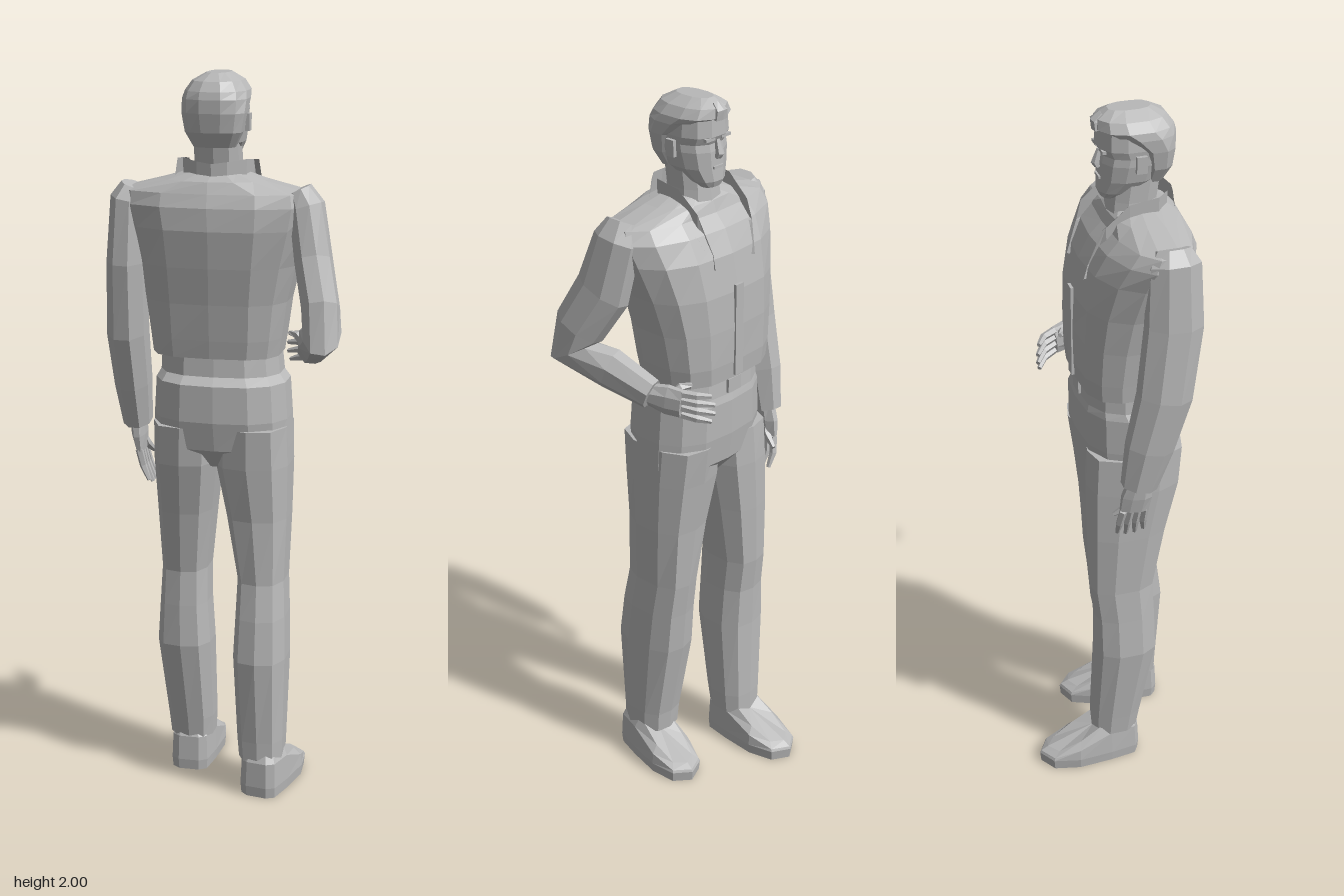
import * as THREE from 'three';

const grey = new THREE.MeshStandardMaterial({ color: 0xb8b8b8, flatShading: true });
grey.name = 'plain grey';
const greyOpen = grey; // one colour for the whole figure
const V3 = (p) => new THREE.Vector3(p[0], p[1], p[2]);

// Skin a list of rings (arrays of Vector3) and close both ends
function loft(name, rings) {
  const n = rings[0].length, pos = [], idx = [];
  rings.forEach((r) => r.forEach((p) => pos.push(p.x, p.y, p.z)));
  for (let i = 0; i < rings.length - 1; i++) {
    for (let j = 0; j < n; j++) {
      const a = i * n + j, b = i * n + (j + 1) % n;
      idx.push(a, a + n, b, b, a + n, b + n);
    }
  }
  [0, rings.length - 1].forEach((k) => {
    const c = new THREE.Vector3();
    rings[k].forEach((p) => c.addScaledVector(p, 1 / n));
    const ci = pos.length / 3;
    pos.push(c.x, c.y, c.z);
    for (let j = 0; j < n; j++) {
      const a = k * n + j, b = k * n + (j + 1) % n;
      if (k === 0) idx.push(ci, a, b); else idx.push(ci, b, a);
    }
  });
  return finish(name, pos, idx);
}

function finish(name, pos, idx) {
  let g = new THREE.BufferGeometry();
  g.setAttribute('position', new THREE.Float32BufferAttribute(pos, 3));
  g.setIndex(idx);
  g = g.toNonIndexed();
  g.computeVertexNormals();
  const m = new THREE.Mesh(g, greyOpen);
  m.name = name;
  return m;
}

// Level sections [y, xMin, xMax, zMin, zMax, power]; a higher power is boxier
function body(name, rows, n = 12) {
  return loft(name, rows.map(([y, x0, x1, z0, z1, p = 2.4]) => {
    const ring = [];
    for (let j = 0; j < n; j++) {
      const a = ((j + 0.5) / n) * Math.PI * 2, c = Math.cos(a), s = Math.sin(a);
      const k = 1 / Math.cos(Math.PI / n);
      const u = Math.sign(c) * Math.min(1, k * Math.abs(c) ** (2 / p));
      const v = Math.sign(s) * Math.min(1, k * Math.abs(s) ** (2 / p));
      ring.push(new THREE.Vector3((x0 + x1) / 2 + u * (x1 - x0) / 2, y, (z0 + z1) / 2 + v * (z1 - z0) / 2));
    }
    return ring;
  }));
}

// Sections [x, y, z, halfWidth, halfDepth] set square to a bent path
function limb(name, pts, ref = [1, 0, 0], n = 8) {
  const c = pts.map(V3);
  const dir = (i) => c[i + 1].clone().sub(c[i]).normalize();
  return loft(name, pts.map((p, i) => {
    const t = new THREE.Vector3();
    if (i > 0) t.add(dir(i - 1));
    if (i < c.length - 1) t.add(dir(i));
    t.normalize();
    const v = V3(ref).cross(t).normalize(), u = t.clone().cross(v);
    return Array.from({ length: n }, (_, j) => {
      const a = ((j + 0.5) / n) * Math.PI * 2;
      return c[i].clone().addScaledVector(u, Math.cos(a) * p[3] * 1.06).addScaledVector(v, Math.sin(a) * p[4] * 1.06);
    });
  }));
}

// Palm, four curled fingers and a thumb; spread runs across the knuckles
function hand(name, wrist, knuckle, bend, tip, spread, thumb, ref) {
  const g = new THREE.Group();
  g.name = name;
  const mid = V3(wrist).lerp(V3(knuckle), 0.55);
  g.add(limb('palm', [[...wrist, 0.022, 0.03], [...mid.toArray(), 0.02, 0.042], [...knuckle, 0.014, 0.04]], ref));
  for (let i = 0; i < 4; i++) {
    const s = (i - 1.5) * 0.02, short = i === 0 || i === 3 ? 0.8 : 1;
    const at = (p, k) => V3(p).addScaledVector(V3(spread), s * k);
    const end = at(bend, 1.1).lerp(at(tip, 1.25), short);
    g.add(limb('finger', [
      [...at(knuckle, 1).toArray(), 0.011, 0.011],
      [...at(bend, 1.1).toArray(), 0.01, 0.01],
      [...end.toArray(), 0.006, 0.006]], ref, 5));
  }
  const joint = mid.clone().lerp(V3(thumb), 0.55).addScaledVector(V3(spread), 0.012);
  g.add(limb('thumb', [[...mid.toArray(), 0.014, 0.014], [...joint.toArray(), 0.012, 0.012], [...thumb, 0.006, 0.006]], ref, 5));
  return g;
}

// Shoe: sole outline with a top that slopes down toward the toe
function shoe(name, x, z, turn) {
  const outline = [[0.062, 0.09], [0.052, 0.015], [0.03, 0], [-0.03, 0], [-0.052, 0.015], [-0.062, 0.09],
    [-0.068, 0.19], [-0.05, 0.265], [0, 0.295], [0.05, 0.265], [0.068, 0.19]];
  const ring = (scale, h) => outline.map(([u, t]) =>
    new THREE.Vector3(u * scale, h(t), -(0.14 + (t - 0.14) * (0.5 + scale / 2))));
  const top = (t) => 0.135 - 0.085 * THREE.MathUtils.smoothstep(t, 0.08, 0.27);
  const m = loft(name, [ring(0.96, () => 0), ring(1, () => 0.03), ring(0.95, (t) => top(t) * 0.75), ring(0.68, top)]);
  m.position.set(x, 0, z);
  m.rotation.y = turn;
  return m;
}

function box(name, w, h, d, x, y, z) {
  const m = new THREE.Mesh(new THREE.BoxGeometry(w, h, d), grey);
  m.name = name;
  m.position.set(x, y, z);
  return m;
}

// Turned-down collar running round the neck into two lapels
function collar() {
  const path = [[0.075, 1.60, -0.108], [0.1, 1.68, -0.075], [0.108, 1.725, 0], [0.105, 1.735, 0.095], [0.05, 1.73, 0.14], [0, 1.725, 0.152]];
  const full = [...path.map(([x, y, z]) => [-x, y, z]), ...path.slice(0, -1).reverse()];
  const rings = full.map(([x, y, z], i) => {
    const rise = 0.045 * Math.min(1, Math.min(i, full.length - 1 - i) / 2 + 0.25);
    const p = (k, dy) => new THREE.Vector3(x * k - 0.025, y + dy, 0.04 + (z - 0.04) * k);
    return [p(1.03, -0.025), p(0.94, rise), p(0.82, rise), p(0.8, -0.03)];
  });
  return loft('collar', rings.map((r) => r.reverse()));
}

export function createModel() {
  const man = new THREE.Group();
  man.name = 'standingMan';

  // Jacket, widest at the shoulders
  man.add(body('jacket', [
    [1.25, -0.205, 0.142, -0.12, 0.13, 2.9], [1.3, -0.21, 0.15, -0.125, 0.138, 2.9],
    [1.4, -0.222, 0.165, -0.127, 0.152, 2.7], [1.5, -0.24, 0.19, -0.123, 0.17, 2.5],
    [1.6, -0.268, 0.222, -0.105, 0.184, 2.3], [1.66, -0.292, 0.238, -0.075, 0.18, 2.2],
    [1.695, -0.288, 0.232, -0.042, 0.165, 2.2], [1.725, -0.17, 0.11, -0.03, 0.15, 2.2],
    [1.745, -0.1, 0.05, -0.01, 0.12, 2]], 14));
  man.add(collar());
  man.add(box('jacketPlacket', 0.03, 0.26, 0.008, -0.025, 1.39, -0.126));

  // Trousers
  man.add(body('trouserSeat', [
    [0.94, -0.1, 0.05, -0.05, 0.09], [1.0, -0.2, 0.173, -0.105, 0.15], [1.08, -0.2, 0.17, -0.115, 0.163],
    [1.18, -0.195, 0.163, -0.115, 0.158], [1.2, -0.185, 0.145, -0.11, 0.13], [1.27, -0.182, 0.138, -0.105, 0.122]], 14));
  man.add(box('beltBuckle', 0.05, 0.04, 0.008, -0.025, 1.225, -0.111));
  man.add(body('rightTrouserLeg', [
    [0.1, -0.18, -0.058, -0.105, 0.025], [0.16, -0.185, -0.055, -0.105, 0.035], [0.4, -0.207, -0.056, -0.098, 0.078],
    [0.52, -0.2, -0.064, -0.1, 0.075], [0.62, -0.195, -0.066, -0.112, 0.07], [0.8, -0.2, -0.046, -0.115, 0.105],
    [0.95, -0.202, -0.026, -0.115, 0.145], [1.06, -0.2, -0.02, -0.11, 0.155]], 10));
  man.add(body('leftTrouserLeg', [
    [0.1, 0.048, 0.17, 0.01, 0.158], [0.16, 0.043, 0.172, 0.005, 0.16], [0.4, 0.03, 0.176, -0.04, 0.176],
    [0.52, 0.034, 0.172, -0.05, 0.16], [0.62, 0.036, 0.166, -0.062, 0.14], [0.8, 0.004, 0.172, -0.075, 0.138],
    [0.95, -0.026, 0.174, -0.095, 0.152], [1.06, -0.02, 0.17, -0.11, 0.16]], 10));
  man.add(shoe('rightShoe', -0.12, 0.03, 0));
  man.add(shoe('leftShoe', 0.107, 0.165, -0.17));

  // Hanging right arm
  man.add(limb('rightSleeve', [
    [-0.25, 1.705, 0.075, 0.03, 0.045], [-0.262, 1.67, 0.075, 0.045, 0.068], [-0.27, 1.5, 0.075, 0.05, 0.075],
    [-0.277, 1.3, 0.05, 0.053, 0.072], [-0.274, 1.15, 0.012, 0.048, 0.064], [-0.27, 1.03, -0.015, 0.038, 0.048]]));
  man.add(hand('rightHand', [-0.27, 1.05, -0.012], [-0.262, 0.95, -0.025], [-0.252, 0.905, -0.03],
    [-0.228, 0.855, -0.025], [0, 0, 1], [-0.24, 0.93, -0.075], [1, 0, 0]));

  // Bent left arm, elbow out behind and hand in front of the waist
  man.add(limb('leftSleeve', [
    [0.2, 1.705, 0.075, 0.03, 0.045], [0.22, 1.66, 0.075, 0.045, 0.068], [0.245, 1.52, 0.105, 0.048, 0.078],
    [0.275, 1.41, 0.165, 0.048, 0.072], [0.284, 1.338, 0.188, 0.047, 0.075], [0.247, 1.303, 0.08, 0.046, 0.056],
    [0.215, 1.255, -0.035, 0.036, 0.042]]));
  man.add(hand('leftHand', [0.215, 1.253, -0.03], [0.185, 1.242, -0.115], [0.165, 1.236, -0.15],
    [0.125, 1.225, -0.178], [0, 1, 0], [0.14, 1.28, -0.11], [1, 0, 0]));

  // Neck and head
  man.add(body('neck', [[1.68, -0.095, 0.045, -0.035, 0.11], [1.76, -0.085, 0.035, -0.025, 0.1],
    [1.83, -0.085, 0.035, -0.015, 0.11]], 10));
  man.add(body('face', [
    [1.768, -0.055, 0.005, -0.045, 0.0], [1.785, -0.073, 0.023, -0.052, 0.05], [1.82, -0.092, 0.042, -0.049, 0.105],
    [1.865, -0.1, 0.05, -0.047, 0.12], [1.885, -0.1, 0.05, -0.043, 0.125], [1.905, -0.102, 0.052, -0.053, 0.125],
    [1.95, -0.098, 0.048, -0.05, 0.12]], 12));
  man.add(body('hair', [
    [1.81, -0.08, 0.03, 0.05, 0.115], [1.85, -0.1, 0.05, 0.045, 0.138], [1.9, -0.109, 0.059, 0.03, 0.146],
    [1.935, -0.111, 0.061, -0.02, 0.146], [1.955, -0.107, 0.057, -0.058, 0.14], [1.98, -0.09, 0.04, -0.055, 0.122],
    [2.0, -0.055, 0.005, -0.025, 0.085]], 12));
  man.add(limb('hairQuiff', [[-0.025, 1.95, -0.058, 0.022, 0.008], [-0.025, 1.972, -0.06, 0.02, 0.01],
    [-0.025, 1.988, -0.04, 0.012, 0.01]], [1, 0, 0], 6));
  man.add(limb('nose', [[-0.025, 1.895, -0.047, 0.006, 0.006], [-0.025, 1.86, -0.056, 0.011, 0.012],
    [-0.025, 1.848, -0.052, 0.012, 0.007]], [1, 0, 0], 6));
  man.add(box('mouth', 0.036, 0.007, 0.008, -0.025, 1.823, -0.05));
  [-1, 1].forEach((s) => {
    man.add(box('brow', 0.034, 0.008, 0.01, -0.025 + s * 0.029, 1.9, -0.047));
    man.add(box('ear', 0.012, 0.045, 0.028, -0.025 + s * 0.08, 1.872, 0.04));
  });
  return man;
}
